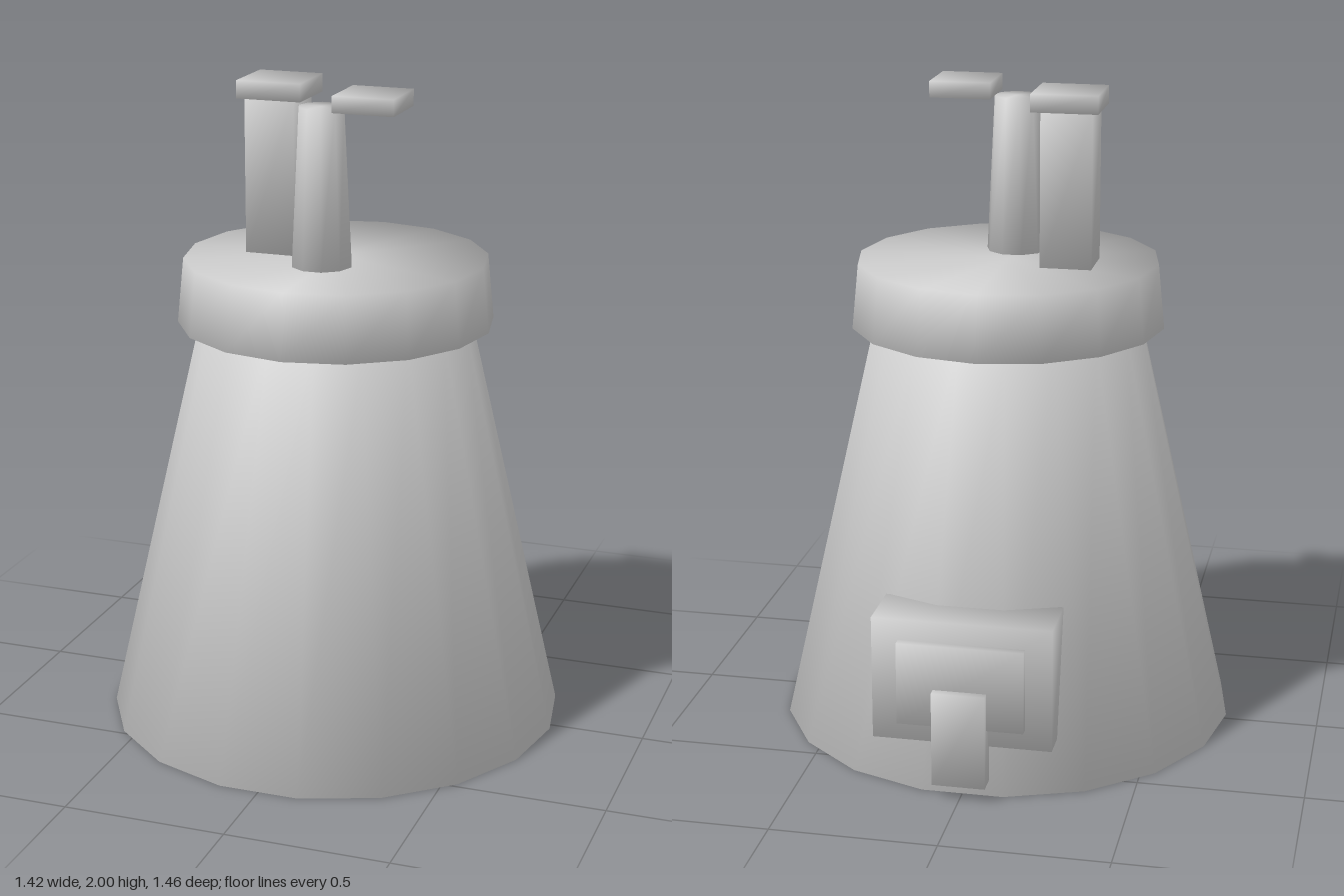
import * as THREE from 'three';

const grey = new THREE.MeshStandardMaterial({ color: 0xcccccc });
grey.name = 'grey';

// Tapered round part whose shading flows softly over its rims
function frustum(name, rTop, rBottom, y0, y1, sides, turn, x, z) {
  const h = y1 - y0;
  const geo = new THREE.CylinderGeometry(rTop, rBottom, h, sides, 1, false, turn);
  const pos = geo.attributes.position;
  const side = new THREE.Vector2(h, rBottom - rTop).normalize();
  const n = new THREE.Vector3();
  for (let i = 0; i < pos.count; i++) {
    const px = pos.getX(i), py = pos.getY(i), pz = pos.getZ(i);
    const r = Math.hypot(px, pz);
    const up = Math.sign(py);
    if (r < 1e-5) n.set(0, up, 0);
    else {
      const k = 2 * side.x * Math.cos(Math.PI / sides) / r;
      n.set(px * k, 2 * side.y + up, pz * k).normalize();
    }
    geo.attributes.normal.setXYZ(i, n.x, n.y, n.z);
  }
  const mesh = new THREE.Mesh(geo, grey);
  mesh.name = name;
  mesh.position.set(x, (y0 + y1) / 2, z);
  return mesh;
}

// Box between two corners, with soft corner normals; lowerFront shifts the lower front edge in z
function softBox(name, [x0, x1], [y0, y1], [z0, z1], lowerFront = 0) {
  const geo = new THREE.BoxGeometry(x1 - x0, y1 - y0, z1 - z0);
  const pos = geo.attributes.position;
  const n = new THREE.Vector3();
  for (let i = 0; i < pos.count; i++) {
    n.fromBufferAttribute(pos, i);
    n.set(Math.sign(n.x), Math.sign(n.y), Math.sign(n.z));
    if (n.y < 0 && n.z > 0) pos.setZ(i, pos.getZ(i) + lowerFront);
    n.normalize();
    geo.attributes.normal.setXYZ(i, n.x, n.y, n.z);
  }
  const mesh = new THREE.Mesh(geo, grey);
  mesh.name = name;
  mesh.position.set((x0 + x1) / 2, (y0 + y1) / 2, (z0 + z1) / 2);
  return mesh;
}

export function createModel() {
  const model = new THREE.Group();
  model.name = 'chimneyTower';

  // Tapered tower and its collar
  model.add(frustum('body', 0.415, 0.71, 0, 1.28, 18, Math.PI / 18, 0, 0.028));
  model.add(frustum('collar', 0.465, 0.485, 1.27, 1.47, 16, 0, 0, 0.026));

  // Round and square chimneys with flat covers
  model.add(frustum('roundChimney', 0.07, 0.094, 1.46, 1.95, 10, Math.PI / 10, -0.003, 0.148));
  model.add(softBox('squareChimney', [-0.275, -0.118], [1.46, 1.95], [-0.085, 0.075]));
  model.add(softBox('squareChimneyCover', [-0.295, -0.092], [1.945, 2], [-0.11, 0.09]));
  model.add(softBox('roundChimneyCover', [0.062, 0.25], [1.95, 2], [0.052, 0.242]));

  // Hatch on the back: wedge housing, raised panel, hanging flap and side catch
  const hatch = new THREE.Group();
  hatch.name = 'hatch';
  hatch.add(softBox('hatchHousing', [-0.27, 0.27], [0.163, 0.545], [-0.675, -0.49], -0.095));
  hatch.add(softBox('hatchPanel', [-0.19, 0.19], [0.225, 0.48], [-0.702, -0.64]));
  hatch.add(softBox('hatchFlap', [-0.08, 0.08], [0.048, 0.342], [-0.728, -0.662]));
  hatch.add(softBox('hatchCatch', [0.25, 0.279], [0.157, 0.235], [-0.6, -0.57]));
  model.add(hatch);

  return model;
}
